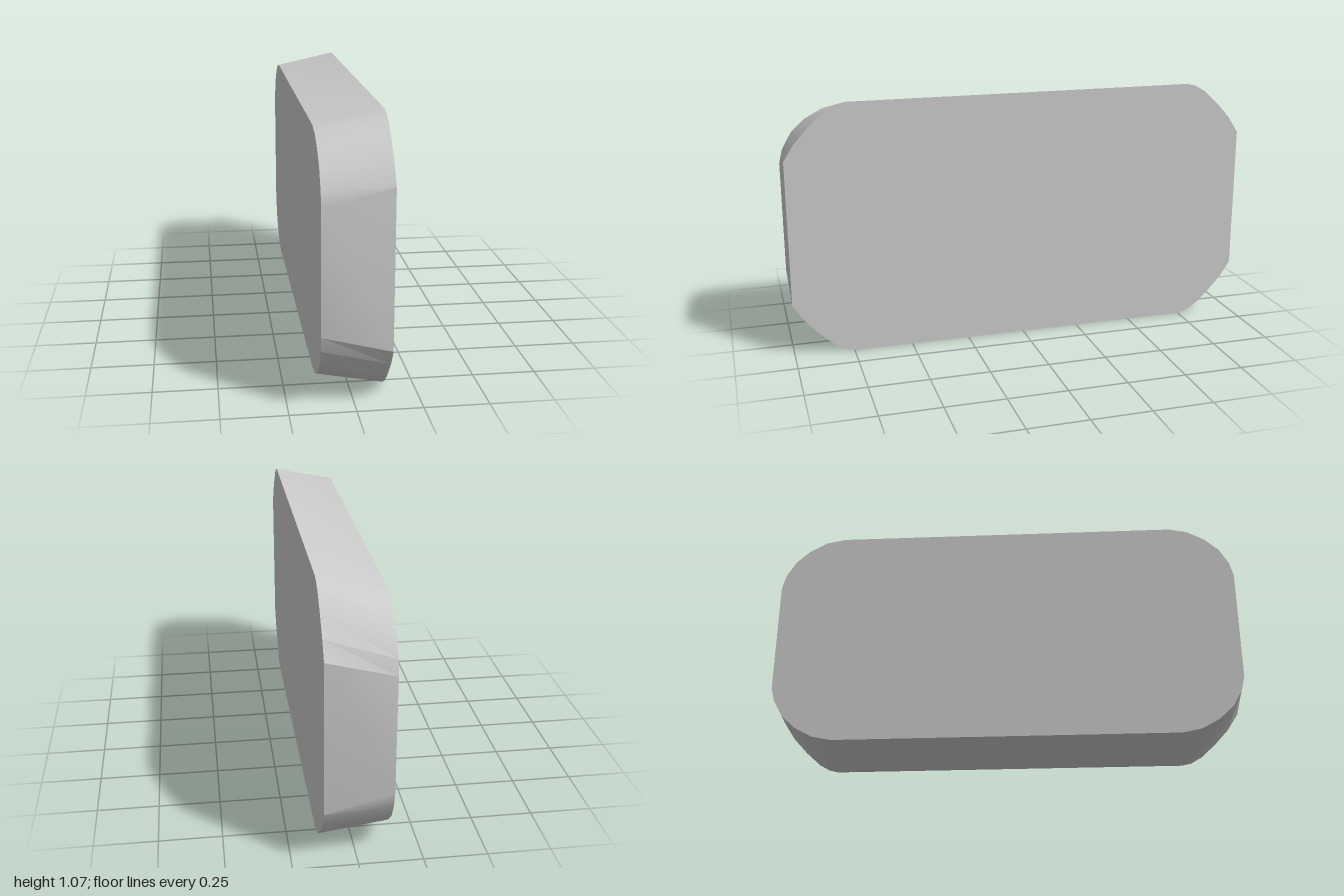
import * as THREE from 'three';
import { toCreasedNormals } from 'three/addons/utils/BufferGeometryUtils.js';

const HALF_THICKNESS = 0.132;
const CENTRE_Y = 0.537;

// One corner of each face as [half length, half height], from end to top
const wideCorner = [[1, 0.308], [0.955, 0.377], [0.893, 0.445], [0.83, 0.502], [0.785, 0.528], [0.745, 0.537]];
const narrowCorner = [[1, 0.24], [0.985, 0.3], [0.945, 0.37], [0.885, 0.425], [0.81, 0.466], [0.73, 0.482]];

// Mirror a corner into a closed outline at the given x
function outline(corner, x) {
  const back = [...corner].reverse();
  const place = (pts, su, sv) => pts.map(([u, v]) => new THREE.Vector3(x, CENTRE_Y + sv * v, -su * u));
  return [...place(corner, 1, 1), ...place(back, -1, 1), ...place(corner, -1, -1), ...place(back, 1, -1)];
}

// Join two outlines with a wall and close both faces
function loft(narrow, wide) {
  const n = narrow.length;
  const corners = [];
  for (let i = 0; i < n; i++) {
    const j = (i + 1) % n;
    corners.push(narrow[i], narrow[j], wide[j], narrow[i], wide[j], wide[i]);
    if (i > 0 && i < n - 1) {
      corners.push(wide[0], wide[i], wide[j], narrow[0], narrow[j], narrow[i]);
    }
  }
  const geometry = new THREE.BufferGeometry().setFromPoints(corners);
  return toCreasedNormals(geometry, Math.PI / 7);
}

export function createModel() {
  const group = new THREE.Group();
  group.name = 'taperedPlate';

  // Solid plate whose top and bottom taper towards the -x face
  const plate = new THREE.Mesh(
    loft(outline(narrowCorner, -HALF_THICKNESS), outline(wideCorner, HALF_THICKNESS)),
    new THREE.MeshStandardMaterial({ color: 0xcccccc })
  );
  plate.name = 'plate';
  group.add(plate);
  return group;
}
